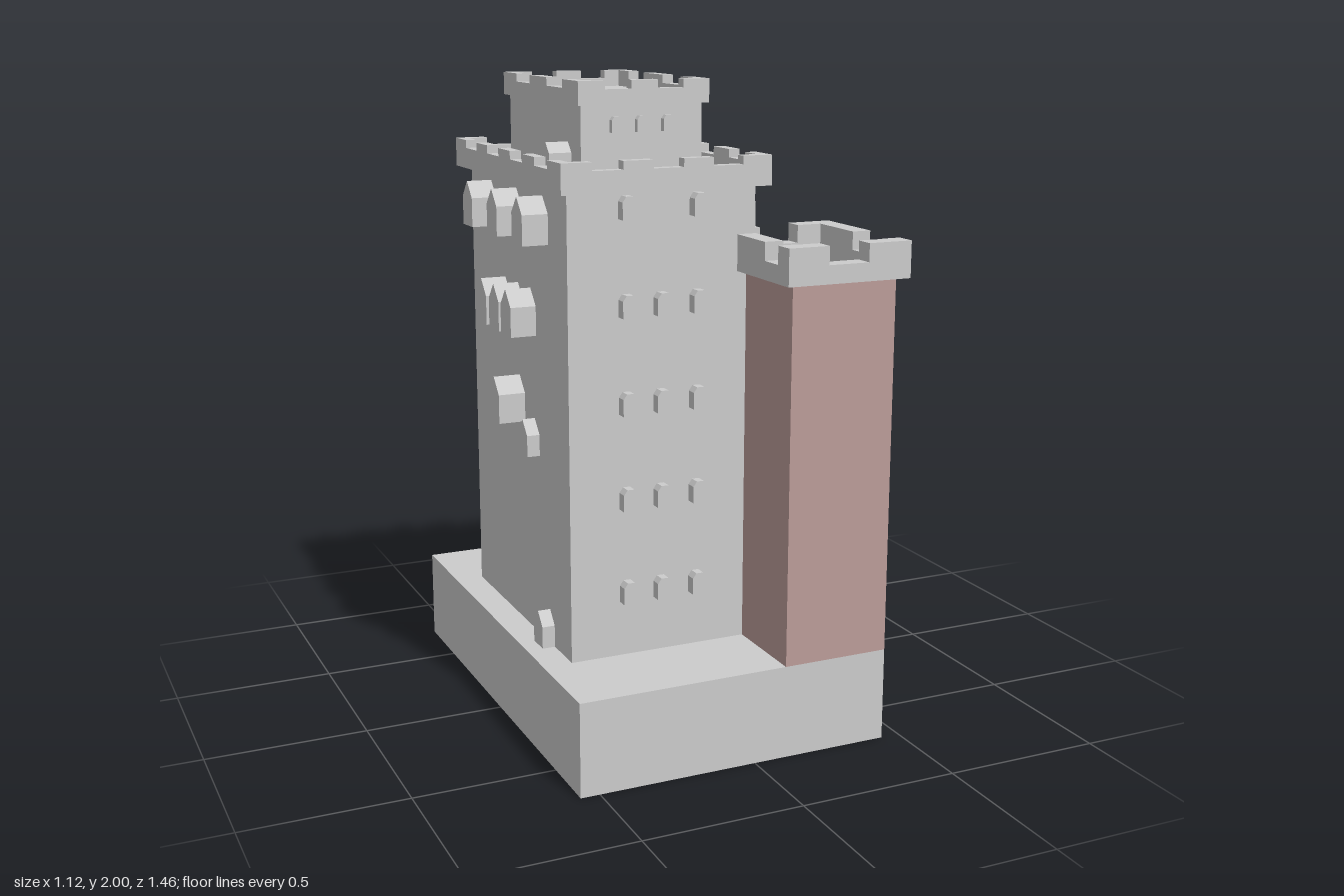
import * as THREE from 'three';

const grey = new THREE.MeshStandardMaterial({ color: 0xcccccc, flatShading: true });
const red = new THREE.MeshStandardMaterial({ color: 0xbb9c99, flatShading: true });

export function createModel() {
  const model = new THREE.Group();

  const group = (name, parent = model) => {
    const g = new THREE.Group();
    g.name = name;
    parent.add(g);
    return g;
  };
  const mesh = (name, geo, parent = model, mat = grey) => {
    const m = new THREE.Mesh(geo, mat);
    m.name = name;
    parent.add(m);
    return m;
  };
  // Box given by its limits on each axis
  const block = (name, x0, x1, y0, y1, z0, z1, parent, mat) => {
    const m = mesh(name, new THREE.BoxGeometry(x1 - x0, y1 - y0, z1 - z0), parent, mat);
    m.position.set((x0 + x1) / 2, (y0 + y1) / 2, (z0 + z1) / 2);
    return m;
  };
  const extrude = (pts, depth) => new THREE.ExtrudeGeometry(
    new THREE.Shape(pts.map(p => new THREE.Vector2(...p))), { depth, bevelEnabled: false });

  // Base and main bodies
  block('base', -0.56, 0.44, 0, 0.29, -0.73, 0.70);
  block('mainTower', -0.47, 0.127, 0.29, 1.70, -0.44, 0.41);
  block('upperKeep', -0.375, 0.01, 1.70, 1.94, -0.32, 0.285);
  block('backSideTower', 0.10, 0.44, 0.29, 1.44, -0.73, -0.305, model, red);
  block('frontSideTower', 0.10, 0.44, 0.29, 1.44, 0.275, 0.70, model, red);

  // Parapets: a low wall on four sides with merlons between the gaps
  const even = (a, b, n) => {
    const s = (b - a) / (2 * n + 1);
    return Array.from({ length: n }, (_, i) => [a + s * (2 * i + 1), a + s * (2 * i + 2)]);
  };
  const parapet = (name, [x0, x1], [z0, z1], [y0, yWall, yTop], t, gaps, floor) => {
    const g = group(name);
    if (floor) block('walkway', x0 + t / 2, x1 - t / 2, y0 + 0.001, floor, z0 + t / 2, z1 - t / 2, g);
    const wall = (a, b, list, put) => {
      const pts = [[a, y0], [b, y0], [b, yTop]];
      for (const [p, q] of [...list].reverse()) pts.push([q, yTop], [q, yWall], [p, yWall], [p, yTop]);
      pts.push([a, yTop]);
      put(mesh('wall', extrude(pts, t), g));
    };
    wall(x0, x1, gaps.front, m => { m.position.z = z1 - t; });
    wall(x0, x1, gaps.back, m => { m.position.z = z0; });
    wall(z0 + t, z1 - t, gaps.right, m => { m.rotation.y = -Math.PI / 2; m.position.x = x1; });
    wall(z0 + t, z1 - t, gaps.left, m => { m.rotation.y = -Math.PI / 2; m.position.x = x0 + t; });
  };
  const around = (fx, fz) => ({ front: fx, back: fx, right: fz, left: fz });
  parapet('mainParapet', [-0.505, 0.155], [-0.49, 0.46], [1.695, 1.76, 1.785], 0.035,
    around(even(-0.505, 0.155, 3), even(-0.49, 0.46, 4)), 1.72);
  parapet('keepParapet', [-0.39, 0.025], [-0.335, 0.305], [1.93, 1.975, 2.0], 0.035,
    around(even(-0.39, 0.025, 2), [[-0.215, -0.095], [0.05, 0.18]]), 1.95);
  parapet('sideTowerParapet', [0.07, 0.47], [0.245, 0.73], [1.44, 1.495, 1.55], 0.06,
    { front: [[0.2, 0.33]], back: [[0.2, 0.33]], right: [[0.5, 0.665]], left: [[0.585, 0.665]] });

  // Projecting windows, placed by side, distance along the wall and sill height
  const sides = {
    front: (u, g) => { g.position.set(u, 0, 0.41); },
    back: (u, g) => { g.position.set(u, 0, -0.44); g.rotation.y = Math.PI; },
    right: (u, g) => { g.position.set(0.127, 0, u); g.rotation.y = Math.PI / 2; },
    left: (u, g) => { g.position.set(-0.47, 0, u); g.rotation.y = -Math.PI / 2; },
  };
  const opening = (name, side, u, y, w, h, d, gable, inset = 0) => {
    const a = w / 2, pts = gable
      ? [[-a, 0], [a, 0], [a, h - w * 0.55], [0, h], [-a, h - w * 0.55]]
      : [[-a, 0], [a, 0], [a, h - w * 0.35], [a * 0.5, h], [-a * 0.5, h], [-a, h - w * 0.35]];
    const geo = extrude(pts, d + 0.01).translate(0, y, -0.01 - inset);
    sides[side](u, mesh(name, geo));
  };

  // Regular rows on the front and back walls
  for (const y of [0.46, 0.75, 1.04, 1.33, 1.615]) {
    for (const x of [-0.29, -0.18, -0.064]) {
      if (y < 1.6 || x !== -0.18) opening('frontWindow', 'front', x, y, 0.045, 0.067, 0.035);
      opening('backWindow', 'back', x, y, 0.045, 0.067, 0.014);
    }
  }
  // Gabled oriels on both long walls
  for (const side of ['right', 'left']) {
    for (const z of [0.215, -0.01, -0.245]) opening('upperOriel', side, z, 1.53, 0.09, 0.14, 0.08, true);
    for (const z of [0.1, -0.01, -0.127]) opening('middleOriel', side, z, 1.24, 0.09, 0.14, 0.08, true);
  }
  opening('lowerOriel', 'left', -0.01, 0.95, 0.09, 0.14, 0.085, true);
  opening('smallOriel', 'left', 0.12, 0.87, 0.08, 0.11, 0.04, true);
  opening('sideDoor', 'left', 0.23, 0.29, 0.075, 0.11, 0.04, true);
  // Right wall windows and doors
  for (const z of [0.1, -0.01, -0.127]) {
    opening('rightTallWindow', 'right', z, 0.98, 0.05, 0.125, 0.03);
    opening('rightWindow', 'right', z, 0.75, 0.05, 0.07, 0.03);
  }
  opening('entranceDoor', 'right', -0.01, 0.58, 0.055, 0.09, 0.03);
  for (const z of [-0.355, 0.335]) opening('towerDoor', 'right', z, 1.44, 0.05, 0.09, 0.03);
  // Upper keep windows and walkway door
  for (const x of [-0.27, -0.19, -0.106]) {
    opening('keepWindow', 'front', x, 1.85, 0.03, 0.047, 0.02, false, 0.125);
    opening('keepWindow', 'back', x, 1.85, 0.03, 0.047, 0.012, false, 0.12);
  }
  for (const z of [0.055, -0.015, -0.095]) {
    opening('keepWindow', 'right', z, 1.85, 0.03, 0.047, 0.022, false, 0.117);
  }
  opening('walkwayDoor', 'left', 0.182, 1.72, 0.055, 0.1, 0.07, true, 0.095);

  // Stairs: stepped profiles in the z-y plane, extruded across x
  const flight = (name, x0, x1, y0, y1, zLow, zHigh, zEnd, n) => {
    const pts = [[zEnd, y0], [zEnd, y1]];
    for (let i = n; i > 0; i--) {
      const z = zLow + (zHigh - zLow) * (i / n);
      pts.push([z, y0 + (y1 - y0) * (i / n)], [z, y0 + (y1 - y0) * ((i - 1) / n)]);
    }
    pts.push([zLow, y0]);
    const m = mesh(name, extrude(pts, x1 - x0));
    m.rotation.y = -Math.PI / 2;
    m.position.x = x1;
  };
  flight('lowerStairs', 0.44, 0.56, 0, 0.29, -0.185, 0.125, 0.24, 24);
  flight('upperStairs', 0.355, 0.44, 0.29, 0.58, 0.09, -0.13, -0.187, 22);
  block('entrancePlatform', 0.12, 0.355, 0.29, 0.58, -0.187, 0.155);

  // Tops of the spiral stairs on the side tower roofs
  for (const [z, s] of [[-0.5, -1], [0.465, 1]]) {
    const g = group('spiralStair');
    g.position.set(0.265, 1.44, z);
    g.scale.z = s;
    for (let i = 0; i < 8; i++) {
      const a = -Math.PI / 2 + i * 0.13 - 0.02;
      const h = 0.003 + i * 0.001;
      const step = mesh('step', new THREE.CylinderGeometry(0.11, 0.11, h, 2, 1, false, a, 0.13), g, red);
      step.position.y = h / 2;
    }
  }

  return model;
}
